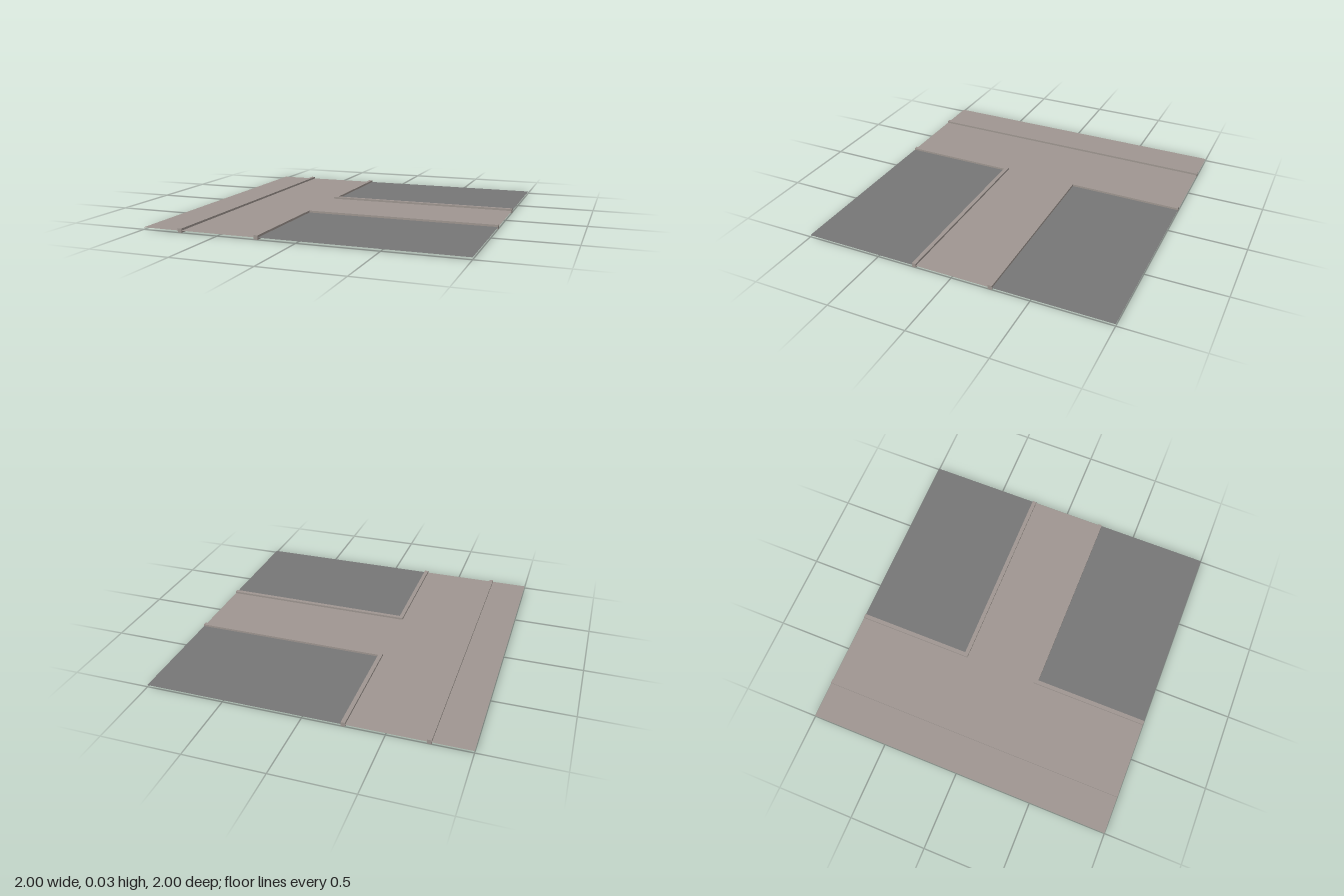
import * as THREE from 'three';

const W = 0.026;        // square section of the kerbs
const MID = W / 2;      // height of the thin ground sheets
const EDGE = 0.25;      // kerb centre line of the two blocks

export function createModel() {
  const model = new THREE.Group();
  const paving = new THREE.MeshStandardMaterial({ color: 0x9f9691, side: THREE.DoubleSide });
  paving.name = 'warm grey paving';
  const asphalt = new THREE.MeshStandardMaterial({ color: 0x767676, side: THREE.DoubleSide });
  asphalt.name = 'dark grey ground';

  const shape = (points) => new THREE.Shape(points.map(([x, z]) => new THREE.Vector2(x, -z)));

  // Shapes are drawn in x and z, then laid flat facing up
  function add(name, geometry, material, y) {
    geometry.rotateX(-Math.PI / 2).translate(0, y, 0);
    const mesh = new THREE.Mesh(geometry, material);
    mesh.name = name;
    model.add(mesh);
  }
  const addSheet = (name, points, material) =>
    add(name, new THREE.ShapeGeometry(shape(points)), material, MID);
  const addKerb = (name, points) =>
    add(name, new THREE.ExtrudeGeometry(shape(points), { depth: W, bevelEnabled: false }), paving, 0);

  // T-shaped paved area
  addSheet('pavedJunction', [
    [-1, 1], [-EDGE, 1], [-EDGE, EDGE], [1, EDGE],
    [1, -EDGE], [-EDGE, -EDGE], [-EDGE, -1], [-1, -1],
  ], paving);

  // Straight kerb along the far side of the junction
  const h = W / 2;
  addKerb('straightKerb', [[-0.75 - h, 1], [-0.75 + h, 1], [-0.75 + h, -1], [-0.75 - h, -1]]);

  // Corner blocks, each with an L-shaped kerb
  for (const [side, s] of [['front', 1], ['back', -1]]) {
    addSheet(side + 'Block', [[-EDGE, s], [1, s], [1, s * EDGE], [-EDGE, s * EDGE]], asphalt);
    const out = EDGE + h, inn = EDGE - h;
    addKerb(side + 'CornerKerb', [
      [-out, s], [-inn, s], [-inn, s * out], [1, s * out], [1, s * inn], [-out, s * inn],
    ]);
  }
  return model;
}
